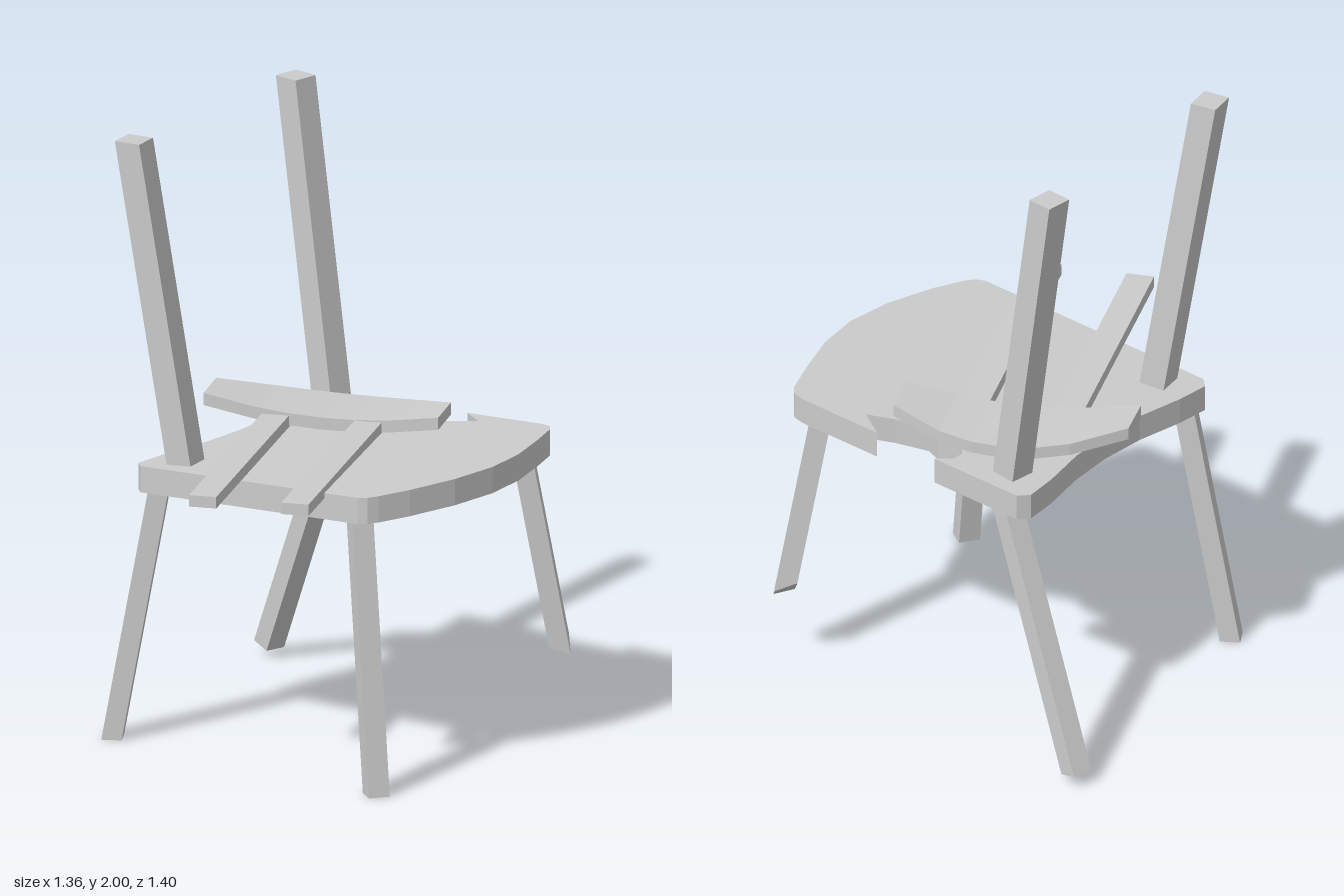
import * as THREE from 'three';

const mat = new THREE.MeshStandardMaterial({ color: 0xcccccc, flatShading: true });

// Apply a rule to every vertex, then facet the result
function reshape(geometry, rule) {
  const g = geometry.index ? geometry.toNonIndexed() : geometry;
  const p = g.attributes.position;
  const v = new THREE.Vector3();
  for (let i = 0; i < p.count; i++) {
    v.fromBufferAttribute(p, i);
    rule(v);
    p.setXYZ(i, v.x, v.y, v.z);
  }
  g.computeVertexNormals();
  return g;
}

// Leaning square bar from foot to head; lift raises the four foot corners
function bar(name, foot, head, w, d, yawDeg, lift = [0, 0, 0, 0]) {
  const a = new THREE.Vector3(...foot), b = new THREE.Vector3(...head);
  const yaw = new THREE.Matrix4().makeRotationY(THREE.MathUtils.degToRad(yawDeg));
  const g = reshape(new THREE.BoxGeometry(w, 1, d), (v) => {
    const up = v.y > 0 ? 0 : lift[(v.x > 0 ? 1 : 0) + (v.z > 0 ? 2 : 0)];
    const t = v.y + 0.5 + up / (b.y - a.y);
    v.y = 0;
    v.applyMatrix4(yaw).add(a.clone().lerp(b, t));
  });
  const m = new THREE.Mesh(g, mat);
  m.name = name;
  return m;
}

// Seat slab with a bowed front, hollow back edge and a broken notch in one side
function seat() {
  const outline = [
    [-0.39, -0.58], [-0.36, -0.615], [-0.03, -0.615],
    [-0.075, -0.57], [-0.075, -0.53], [-0.05, -0.505], [0.04, -0.5], [0.1, -0.475], [0.21, -0.51], [0.295, -0.55],
    [0.2, -0.615], [0.5, -0.615], [0.54, -0.605], [0.565, -0.575], [0.61, -0.45], [0.66, -0.29], [0.68, -0.13],
    [0.66, 0.04], [0.61, 0.21], [0.565, 0.315], [0.545, 0.345], [0.515, 0.36],
    [-0.36, 0.36], [-0.39, 0.33], [-0.38, 0.21], [-0.35, 0.04], [-0.34, -0.13], [-0.35, -0.29], [-0.38, -0.46],
  ].map(([x, z]) => new THREE.Vector2(x, z));
  const g = new THREE.ExtrudeGeometry(new THREE.Shape(outline), { depth: 0.087, bevelEnabled: false });
  g.rotateX(Math.PI / 2);
  const m = new THREE.Mesh(reshape(g, (v) => {
    v.y += 0.918 + 0.062 * (v.x + 0.39) - 0.016 * (v.z - 0.36);
  }), mat);
  m.name = 'seat';
  return m;
}

// Fallen backrest: a bowed crest board with two slats
function backrest() {
  const group = new THREE.Group();
  group.name = 'fallenBackrest';
  const us = [-0.386, -0.217, -0.105, 0, 0.105, 0.217, 0.386];
  const depth = [0.16, 0.243, 0.271, 0.279, 0.271, 0.243, 0.16];
  const board = new THREE.Mesh(reshape(new THREE.BoxGeometry(6, 0.04, 1, 6, 1, 1), (v) => {
    const i = Math.round(v.x + 3);
    const k = us[i] / 0.386;
    v.x = us[i];
    v.z = v.z < 0 ? -depth[i] : 0;
    v.y += 0.975 + 0.04 * k * k - 0.012 * k - 0.03 * v.z * k * k;
  }), mat);
  board.name = 'crestBoard';
  group.add(board);
  for (const [u, end] of [[-0.15, 0.912], [0.155, 0.918]]) {
    const start = -0.06;
    const slat = new THREE.Mesh(reshape(new THREE.BoxGeometry(0.09, 0.038, end - start), (v) => {
      v.x += u;
      v.z += (start + end) / 2;
      v.y += 0.974 - 0.009 * v.z;
    }), mat);
    slat.name = 'slat';
    group.add(slat);
  }
  group.position.set(-0.085, 0, -0.222);
  group.rotation.y = THREE.MathUtils.degToRad(23.2);
  return group;
}

export function createModel() {
  const model = new THREE.Group();
  model.name = 'brokenChair';
  model.add(
    seat(),
    backrest(),
    // Legs, one snapped short and one splayed out
    bar('legFrontRight', [-0.462, 0.005, 0.372], [-0.315, 0.88, 0.308], 0.065, 0.07, 31),
    bar('legFrontLeft', [0.597, 0.005, 0.367], [0.475, 0.92, 0.298], 0.065, 0.07, -35),
    bar('snappedLeg', [0.56, 0.26, -0.632], [0.475, 0.93, -0.54], 0.065, 0.07, 35, [0.06, 0.03, 0, -0.02]),
    bar('splayedLeg', [-0.642, 0.03, -0.665], [-0.28, 0.87, -0.565], 0.075, 0.07, -15, [0.02, 0, 0.02, 0]),
    // Back posts
    bar('postRight', [-0.255, 0.9, 0.254], [-0.42, 1.983, 0.316], 0.088, 0.092, 9),
    bar('postLeft', [-0.255, 0.9, -0.507], [-0.42, 2, -0.522], 0.088, 0.09, -7),
  );
  return model;
}
